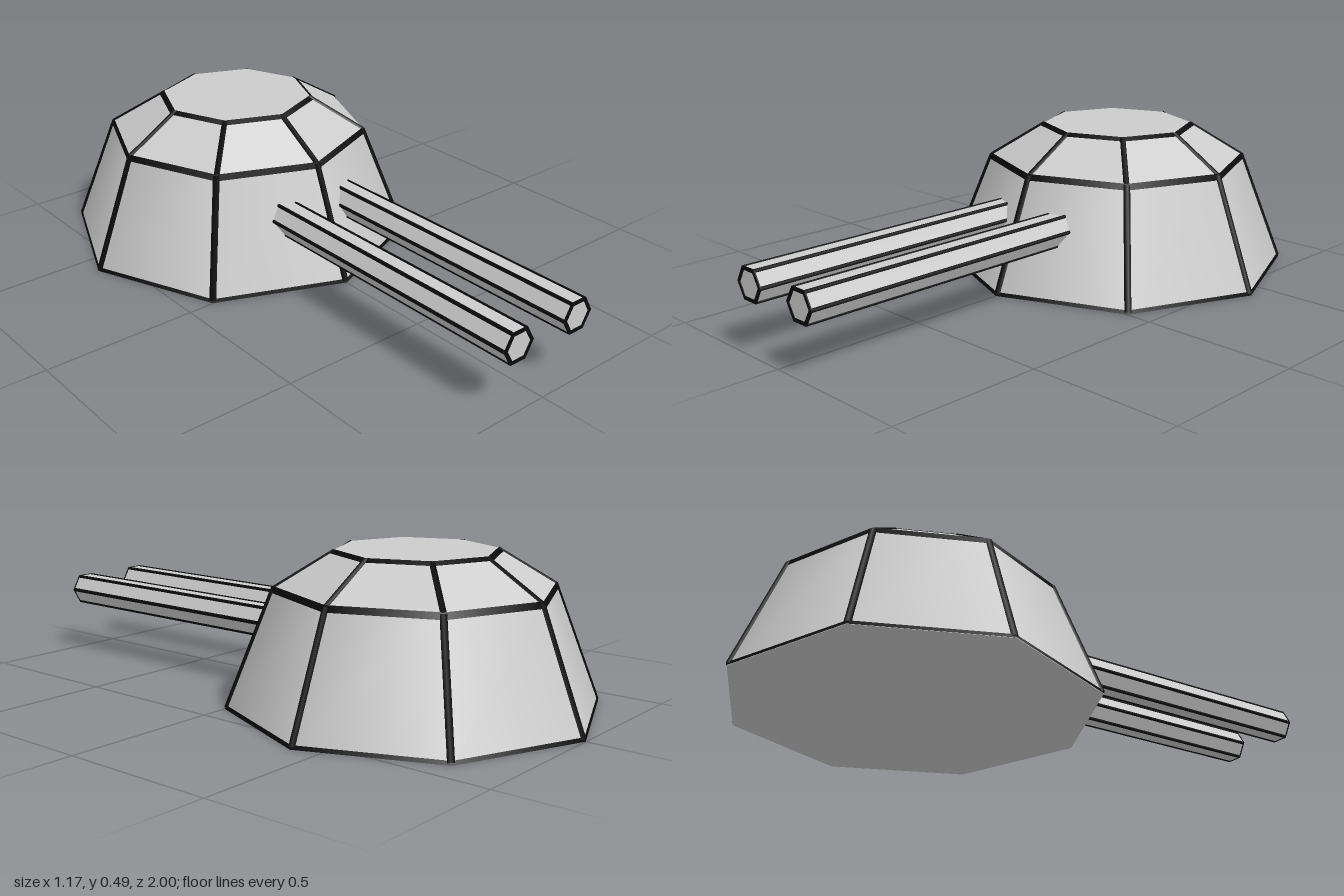
import * as THREE from 'three';

const SIDES = 8, CENTRE_Z = -0.415;
const R0 = 0.583, R1 = 0.436, R2 = 0.25; // turret radii, base to roof
const Y1 = 0.375, Y2 = 0.488;

export function createModel() {
  const model = new THREE.Group();
  model.name = 'gunTurret';
  const grey = new THREE.MeshStandardMaterial({ color: 0xcccccc });
  grey.name = 'armourGrey';
  const black = new THREE.MeshStandardMaterial({ color: 0x0a0a0a });
  black.name = 'seamBlack';

  function add(parent, name, geometry, material) {
    const mesh = new THREE.Mesh(geometry, material);
    mesh.name = name;
    parent.add(mesh);
    return mesh;
  }
  function flat(geometry) {
    const g = geometry.toNonIndexed();
    g.computeVertexNormals();
    return g;
  }
  // octagonal ring section between two heights
  function frustum(rLow, rHigh, yLow, yHigh, open) {
    const g = new THREE.CylinderGeometry(rHigh, rLow, yHigh - yLow, SIDES, 1, open);
    return g.translate(0, (yLow + yHigh) / 2, 0);
  }
  // thin bar between two points
  function bar(parent, name, a, b, radius) {
    const dir = b.clone().sub(a);
    const mesh = add(parent, name, new THREE.CylinderGeometry(radius, radius, dir.length(), 6), black);
    mesh.position.copy(a).add(b).multiplyScalar(0.5);
    mesh.quaternion.setFromUnitVectors(new THREE.Vector3(0, 1, 0), dir.normalize());
  }

  // Turret body: curved-shaded wall, faceted shoulder and flat roof
  const turret = new THREE.Group();
  turret.name = 'turret';
  turret.position.z = CENTRE_Z;
  model.add(turret);
  add(turret, 'lowerWall', frustum(R0, R1, 0, Y1, true), grey);
  add(turret, 'shoulder', flat(frustum(R1, R2, Y1, Y2, true)), grey);
  const roof = new THREE.CircleGeometry(R2, SIDES);
  add(turret, 'roof', roof.rotateX(-Math.PI / 2).translate(0, Y2, 0), grey);
  const floor = new THREE.CircleGeometry(R0, SIDES);
  add(turret, 'floor', floor.rotateX(Math.PI / 2), grey);

  // Horizontal seams lying on the sloping faces
  const wallR = y => R0 + (R1 - R0) * y / Y1 + 0.002;
  add(turret, 'baseSeam', frustum(wallR(0), wallR(0.012), 0, 0.012, true), black);
  add(turret, 'shoulderSeam', frustum(wallR(0.36), wallR(0.38), 0.36, 0.38, true), black);
  add(turret, 'roofSeam', frustum(R2 + 0.019, R2 + 0.002, Y2 - 0.01, Y2 + 0.001, true), black);

  // Seams running up the eight corners
  for (let i = 0; i < SIDES; i++) {
    const t = i * Math.PI * 2 / SIDES;
    const corner = (r, y) => new THREE.Vector3(Math.sin(t) * r, y, Math.cos(t) * r);
    bar(turret, 'wallSeam', corner(R0 - 0.008, 0.004), corner(R1 - 0.006, Y1 - 0.002), 0.012);
    bar(turret, 'shoulderRib', corner(R1 - 0.006, Y1 - 0.005), corner(R2 - 0.002, Y2 - 0.008), 0.012);
  }

  // Twin hexagonal barrels with dark edges and muzzle rims
  const R = 0.056, BACK = -0.04, FRONT = 0.998;
  const hexPoint = (r, i) => new THREE.Vector2(
    Math.cos(i * Math.PI / 3) * r, Math.sin(i * Math.PI / 3) * r);
  const rim = new THREE.Shape([0, 1, 2, 3, 4, 5].map(i => hexPoint(R + 0.002, i)));
  rim.holes.push(new THREE.Path([5, 4, 3, 2, 1, 0].map(i => hexPoint(R - 0.011, i))));
  for (const side of [1, -1]) {
    const barrel = new THREE.Group();
    barrel.name = side > 0 ? 'leftBarrel' : 'rightBarrel';
    barrel.position.set(0.12 * side, 0.217, 0);
    model.add(barrel);
    const tube = new THREE.CylinderGeometry(R, R, FRONT - BACK, 6);
    tube.rotateY(Math.PI / 2).rotateX(Math.PI / 2).translate(0, 0, (FRONT + BACK) / 2);
    add(barrel, 'barrelTube', flat(tube), grey);
    for (let i = 0; i < 6; i++) {
      const p = hexPoint(R - 0.004, i);
      bar(barrel, 'barrelEdge', new THREE.Vector3(p.x, p.y, BACK),
        new THREE.Vector3(p.x, p.y, FRONT), 0.0065);
    }
    const rimGeometry = new THREE.ExtrudeGeometry(rim, { depth: 0.004, bevelEnabled: false });
    add(barrel, 'muzzleRim', rimGeometry.translate(0, 0, FRONT - 0.002), black);
  }
  return model;
}
